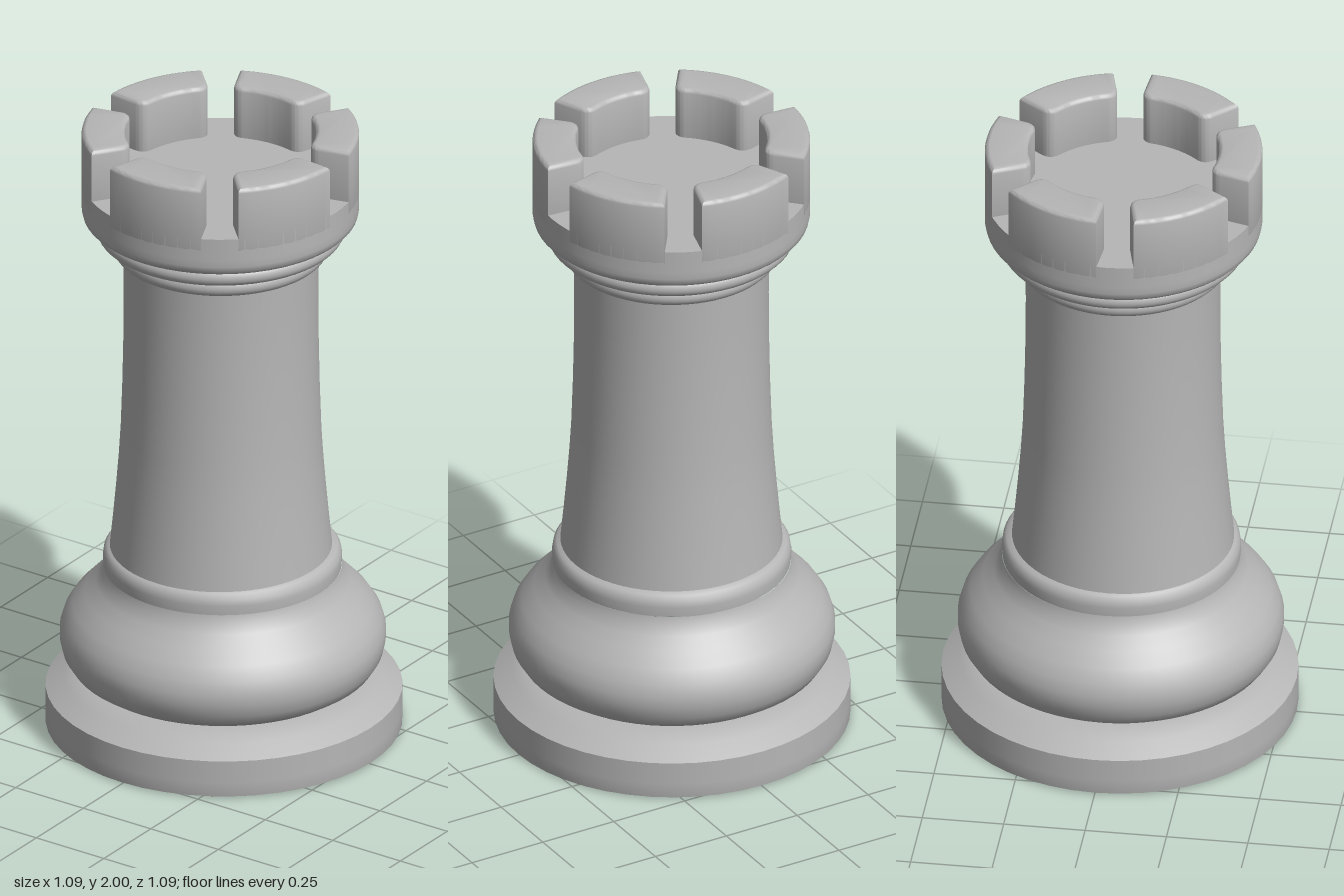
import * as THREE from 'three';
import { toCreasedNormals } from 'three/addons/utils/BufferGeometryUtils.js';

const stone = new THREE.MeshStandardMaterial({ color: 0xb6b6b6 });
stone.name = 'grey stone';

// Turned part from [radius, height] pairs, listed bottom to top
function turned(name, profile, x = 0, z = 0, segments = 64) {
  const points = profile.map(([r, y]) => new THREE.Vector2(r, y));
  const mesh = new THREE.Mesh(new THREE.LatheGeometry(points, segments), stone);
  mesh.name = name;
  mesh.position.set(x, 0, z);
  return mesh;
}

// Half-round moulding between two heights
function moulding(name, inner, outer, y0, y1, x, z) {
  const profile = [];
  for (let i = 0; i <= 10; i++) {
    const a = -Math.PI / 2 + (Math.PI * i) / 10;
    const r = outer - (y1 - y0) / 2;
    profile.push([r + Math.cos(a) * (outer - r), (y0 + y1) / 2 + Math.sin(a) * (y1 - y0) / 2]);
  }
  return turned(name, [[inner, y0], ...profile, [inner, y1]], x, z);
}

// Ring sector with rounded inner corners and a bevelled top
function merlonGeometry() {
  const bevel = 0.014, ri = 0.29 + bevel, ro = 0.422 - bevel;
  const half = THREE.MathUtils.degToRad(22.6) - bevel / 0.36;
  const at = (r, a) => [r * Math.cos(a), r * Math.sin(a)];
  const round = 0.022, da = round / ri;
  const s = new THREE.Shape();
  s.moveTo(...at(ri + round, -half));
  s.lineTo(...at(ro, -half));
  s.absarc(0, 0, ro, -half, half, false);
  s.lineTo(...at(ri + round, half));
  s.quadraticCurveTo(...at(ri, half), ...at(ri, half - da));
  s.absarc(0, 0, ri, half - da, -half + da, true);
  s.quadraticCurveTo(...at(ri, -half), ...at(ri + round, -half));
  const g = new THREE.ExtrudeGeometry(s, {
    depth: 0.19, bevelEnabled: true, bevelSize: bevel, bevelThickness: bevel,
    bevelSegments: 3, curveSegments: 10,
  });
  g.rotateX(-Math.PI / 2);
  g.translate(0, 2 - 0.19 - bevel, 0);
  return toCreasedNormals(g, 0.7);
}

export function createModel() {
  const model = new THREE.Group();
  model.name = 'rook';

  // Foot
  model.add(
    turned('footUnderside', [[0, 0], [0.543, 0]], 0, 0, 48),
    turned('footSide', [[0.535, 0], [0.543, 0.004], [0.543, 0.05], [0.543, 0.122]], 0, 0, 48),
    turned('footSlope', [[0.543, 0.122], [0.485, 0.155], [0.43, 0.182], [0.3, 0.188]], 0, 0, 48),
  );

  // Belly and collar
  model.add(turned('belly', [
    [0.40, 0.184], [0.435, 0.19], [0.465, 0.21], [0.487, 0.245], [0.496, 0.285], [0.496, 0.32],
    [0.484, 0.36], [0.458, 0.4], [0.42, 0.44], [0.387, 0.475], [0.368, 0.505], [0.362, 0.53],
  ], -0.002, 0.003));
  model.add(turned('collar', [
    [0.362, 0.53], [0.364, 0.56], [0.361, 0.58], [0.35, 0.595], [0.33, 0.602],
  ], -0.002, 0.005));

  // Tapering column
  model.add(turned('column', [
    [0.339, 0.59], [0.328, 0.7], [0.319, 0.8], [0.311, 0.9], [0.305, 1.0],
    [0.3, 1.15], [0.297, 1.3], [0.296, 1.45], [0.298, 1.6],
  ], -0.004, 0.01));

  // Neck mouldings
  model.add(
    moulding('lowerNeckRing', 0.28, 0.33, 1.585, 1.645, -0.004, 0.011),
    moulding('upperNeckRing', 0.28, 0.38, 1.645, 1.702, -0.004, 0.011),
  );

  // Battlement head
  const head = new THREE.Group();
  head.name = 'head';
  head.position.set(-0.005, 0, 0.012);
  head.add(
    turned('headWall', [
      [0.28, 1.7], [0.39, 1.703], [0.407, 1.708], [0.418, 1.72], [0.422, 1.737], [0.422, 1.76], [0.422, 1.832],
    ]),
    turned('headFloor', [[0.422, 1.832], [0.3, 1.832], [0, 1.832]]),
  );
  const merlon = merlonGeometry();
  for (let i = 0; i < 6; i++) {
    const m = new THREE.Mesh(merlon, stone);
    m.name = 'merlon';
    m.rotation.y = THREE.MathUtils.degToRad(34.5 + 60 * i);
    head.add(m);
  }
  model.add(head);
  return model;
}
